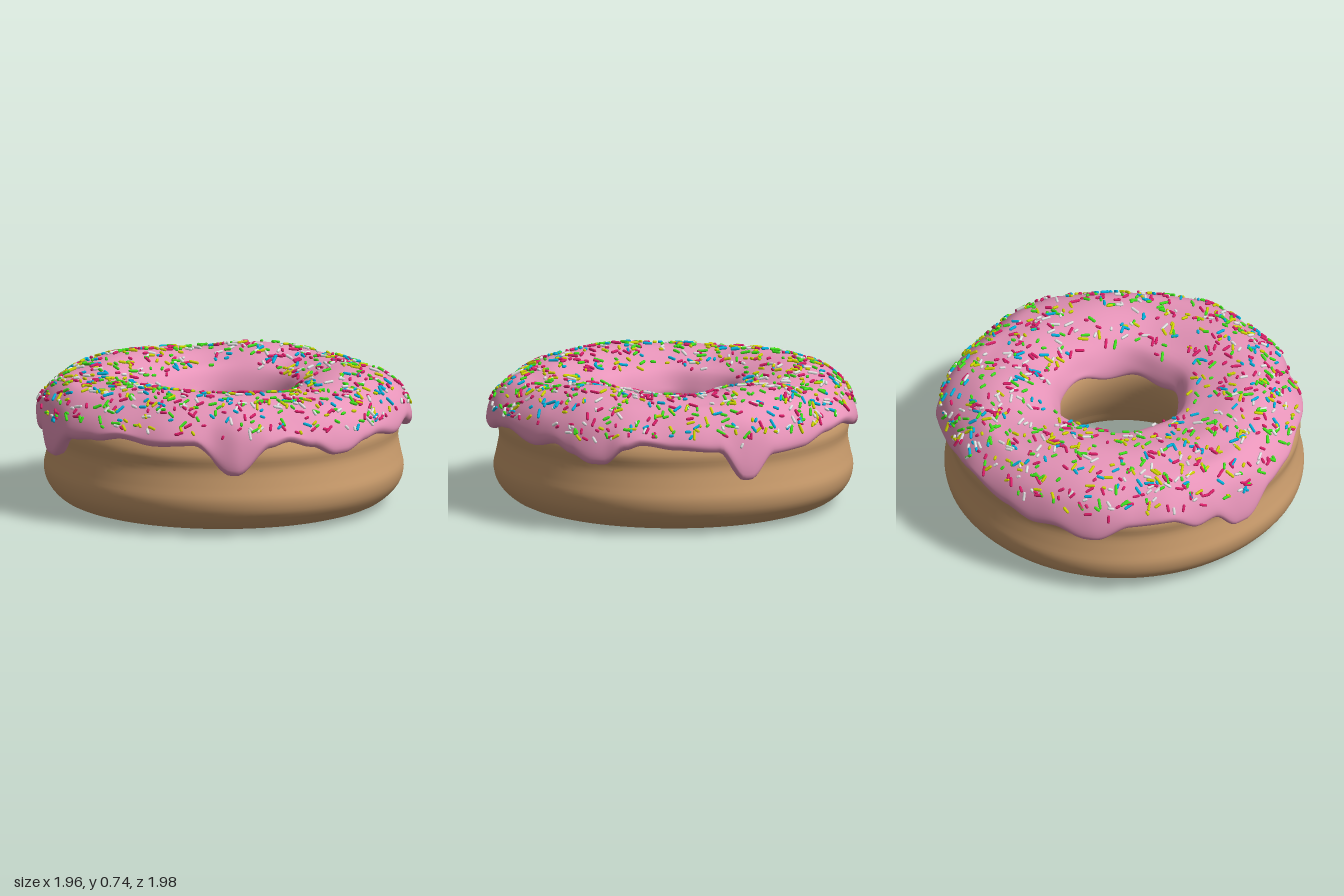
import * as THREE from 'three';
import { mergeGeometries } from 'three/addons/utils/BufferGeometryUtils.js';

const TAU = Math.PI * 2;

// Smooth periodic lookup through [degrees, value] keys
function around(keys) {
  return (theta) => {
    const d = (((theta * 360) / TAU) % 360 + 360) % 360;
    let i = keys.findIndex((k) => k[0] > d);
    if (i < 0) i = keys.length;
    const a = i > 0 ? keys[i - 1] : [keys[keys.length - 1][0] - 360, keys[keys.length - 1][1]];
    const b = i < keys.length ? keys[i] : [keys[0][0] + 360, keys[0][1]];
    const t = (d - a[0]) / (b[0] - a[0]);
    return a[1] + (b[1] - a[1]) * t * t * (3 - 2 * t);
  };
}

// Icing outer radius, ridge height and drip line, by angle from +x towards +z
const icingRadius = around([[0, .967], [16, 1.005], [24, 1.015], [44, .975], [62, .97], [83, 1.0],
  [102, .97], [116, .982], [126, .95], [140, .96], [153, .945], [168, .965], [188, .99], [202, .985],
  [217, 1.0], [228, .985], [242, 1.005], [262, .985], [280, .98], [306, .962], [330, 1.005], [345, .98]]);
const icingHeight = around([[0, .702], [35, .722], [70, .69], [110, .714], [150, .718], [180, .7],
  [198, .69], [225, .715], [250, .72], [288, .692], [322, .726], [346, .696]]);
const dripLine = around([[7, .5], [12, .475], [19, .39], [23, .39], [30, .43], [37, .465], [48, .43],
  [63, .47], [70, .46], [80, .42], [84, .42], [92, .475], [100, .51], [106, .485], [117, .34],
  [119, .34], [131, .495], [146, .48], [157, .5], [168, .47], [179, .45], [190, .325], [194, .325],
  [202, .425], [208, .405], [217, .475], [230, .455], [241, .375], [244, .375], [254, .42], [262, .4],
  [272, .44], [288, .49], [298, .475], [310, .43], [324, .428], [332, .303], [334, .303],
  [342, .46], [356, .475]]);
const holeRadius = (a) => 0.32 + 0.03 * Math.cos(a) + 0.008 * Math.cos(6 * a + 0.6);
const innerLine = (a) => 0.475 + 0.016 * Math.sin(7 * a) + 0.01 * Math.sin(4 * a + 1);

function curve(points, closed) {
  return new THREE.CatmullRomCurve3(points.map(([r, y]) => new THREE.Vector3(r, y, 0)), closed, 'centripetal');
}

// Cross-sections run from the hole over the top to the outside
function icingSection(a) {
  const R = icingRadius(a), h = icingHeight(a), e = dripLine(a), i = holeRadius(a), ie = innerLine(a);
  return curve([
    [i + 0.05, ie + 0.01], [i + 0.015, ie], [i, ie + 0.025], [i + 0.012, 0.555],
    [i + 0.06, 0.635], [0.49, h - 0.03], [0.63, h], [0.75, h - 0.014],
    [R - 0.145, 0.668], [R - 0.055, 0.595], [R - 0.012, 0.59 + (e - 0.59) * 0.45],
    [R, e + 0.03], [R - 0.012, e + 0.003], [R - 0.035, e - 0.004], [R - 0.085, e + 0.012],
  ], false);
}

function doughSection(a) {
  const k = 0.006 * Math.sin(3 * a + 1) + 0.004 * Math.sin(5 * a);
  const i = 0.345 + 0.03 * Math.cos(a);
  return curve([
    [i + 0.1, 0.14], [i + 0.035, 0.27], [i, 0.4], [i + 0.01, 0.5], [i + 0.08, 0.6],
    [0.62, 0.66], [0.8, 0.62], [0.9, 0.53], [0.94 + k, 0.44], [0.93 + k, 0.36],
    [0.945 + k, 0.27], [0.96 + k, 0.19], [0.938 + k, 0.11], [0.86, 0.038],
    [0.73, 0.002], [0.63, 0.005], [0.525, 0.048],
  ], true);
}

// Sweep a changing cross-section round the vertical axis
function ringGeometry(section, segments, along) {
  const pos = [], index = [];
  for (let i = 0; i < segments; i++) {
    const a = (i / segments) * TAU;
    for (const p of section(a).getPoints(along)) pos.push(p.x * Math.cos(a), Math.max(0, p.y), p.x * Math.sin(a));
    const n = ((i + 1) % segments) * (along + 1), m = i * (along + 1);
    for (let j = 0; j < along; j++) {
      index.push(m + j, n + j, m + j + 1, n + j, n + j + 1, m + j + 1);
    }
  }
  const g = new THREE.BufferGeometry();
  g.setAttribute('position', new THREE.Float32BufferAttribute(pos, 3));
  g.setIndex(index);
  g.computeVertexNormals();
  return g;
}

function seeded(seed) {
  return () => {
    seed = (seed * 1664525 + 1013904223) % 4294967296;
    return seed / 4294967296;
  };
}

function icingPoint(a, t) {
  const p = icingSection(a).getPoint(t);
  return new THREE.Vector3(p.x * Math.cos(a), p.y, p.x * Math.sin(a));
}

export function createModel() {
  const group = new THREE.Group();
  const material = (name, color) => {
    const m = new THREE.MeshStandardMaterial({ color });
    m.name = name;
    return m;
  };
  const add = (name, geometry, mat) => {
    const mesh = new THREE.Mesh(geometry, mat);
    mesh.name = name;
    group.add(mesh);
  };

  add('dough', ringGeometry(doughSection, 120, 68), material('baked brown', 0xca9c6c));
  const pink = material('pink icing', 0xe895ba);
  pink.side = THREE.DoubleSide;
  add('icing', ringGeometry(icingSection, 300, 56), pink);

  // Sprinkles: short rounded rods lying on the icing, merged per colour
  const colours = [
    ['magenta', 0xe0206c, 0.28], ['green', 0x40e81e, 0.23], ['yellow', 0xd2d800, 0.18],
    ['blue', 0x00b6e2, 0.14], ['white', 0xe6e6e6, 0.17],
  ];
  const rand = seeded(7);
  const up = new THREE.Vector3(0, 1, 0);
  for (const [name, color, share] of colours) {
    const rods = [];
    for (let n = 0; n < 1100 * share; n++) {
      const a = rand() * TAU;
      const t = 0.28 + 0.425 * Math.pow(rand(), 0.7);
      const p = icingPoint(a, t);
      const du = icingPoint(a + 0.01, t).sub(p).normalize();
      const dv = icingPoint(a, t + 0.01).sub(p).normalize();
      const normal = du.clone().cross(dv).normalize();
      const dir = du.applyAxisAngle(normal, rand() * TAU);
      const rod = new THREE.CapsuleGeometry(0.008, 0.01 + 0.036 * rand() ** 1.4, 2, 6);
      rod.applyQuaternion(new THREE.Quaternion().setFromUnitVectors(up, dir));
      p.addScaledVector(normal, 0.006);
      rod.translate(p.x, p.y, p.z);
      rods.push(rod);
    }
    add(name + 'Sprinkles', mergeGeometries(rods), material(name + ' sprinkle', color));
  }
  return group;
}
